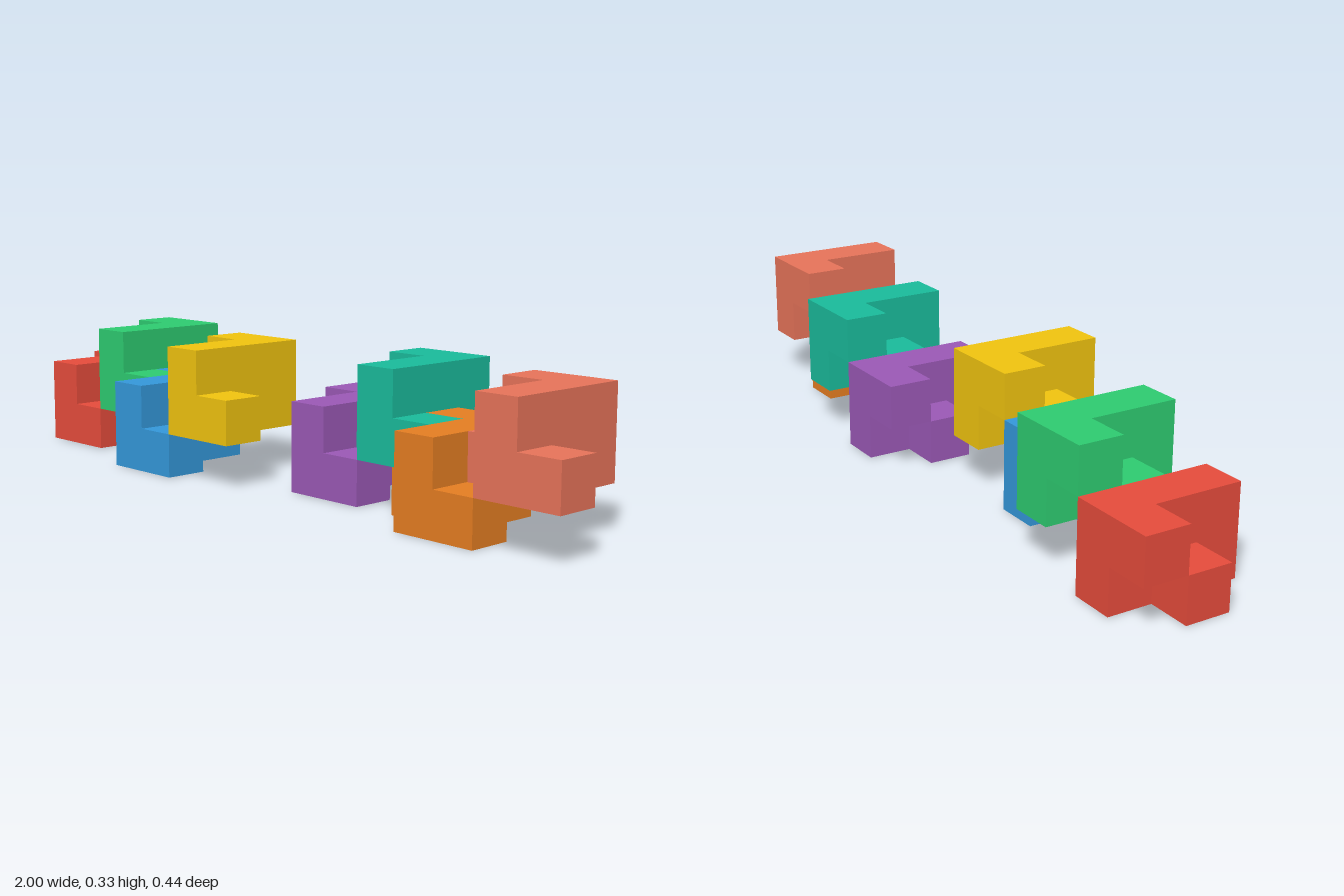
import * as THREE from 'three';

const U = 1 / 9; // edge of one unit cube

// Box given by its low corner and size, in unit cubes
function block(name, material, [x, y, z], [w, h, d]) {
  const mesh = new THREE.Mesh(new THREE.BoxGeometry(w * U, h * U, d * U), material);
  mesh.position.set((x + w / 2) * U, (y + h / 2) * U, (z + d / 2) * U);
  mesh.name = name;
  return mesh;
}

// One interlocking piece: an upright slab with three single cubes on its sides
function createPiece(name, color) {
  const piece = new THREE.Group();
  piece.name = name;
  const material = new THREE.MeshStandardMaterial({ color, flatShading: true });
  piece.add(
    block('slab', material, [1, 0, 0], [1, 2, 3]),
    block('upperBackCube', material, [0, 1, 0], [1, 1, 1]),
    block('lowerMiddleCube', material, [0, 0, 1], [1, 1, 1]),
    block('lowerFrontCube', material, [2, 0, 2], [1, 1, 1]),
  );
  return piece;
}

export function createModel() {
  const model = new THREE.Group();
  model.name = 'interlockingPieces';

  // Two chains of four pieces, each piece stepped along from the last
  const steps = [[0, 0, 0], [2, 1, 0], [4, 0, 1], [6, 1, 1]];
  const chains = [
    [['redPiece', 0xe74c3c], ['greenPiece', 0x2ecc71], ['bluePiece', 0x3498db], ['yellowPiece', 0xf1c40f]],
    [['purplePiece', 0x9b59b6], ['tealPiece', 0x1abc9c], ['orangePiece', 0xe67e22], ['coralPiece', 0xe8745a]],
  ];
  chains.forEach((chain, c) => {
    chain.forEach(([name, color], i) => {
      const [x, y, z] = steps[i];
      const piece = createPiece(name, color);
      piece.position.set((x + 9 * c - 9) * U, y * U, (z - 2) * U);
      model.add(piece);
    });
  });
  return model;
}
